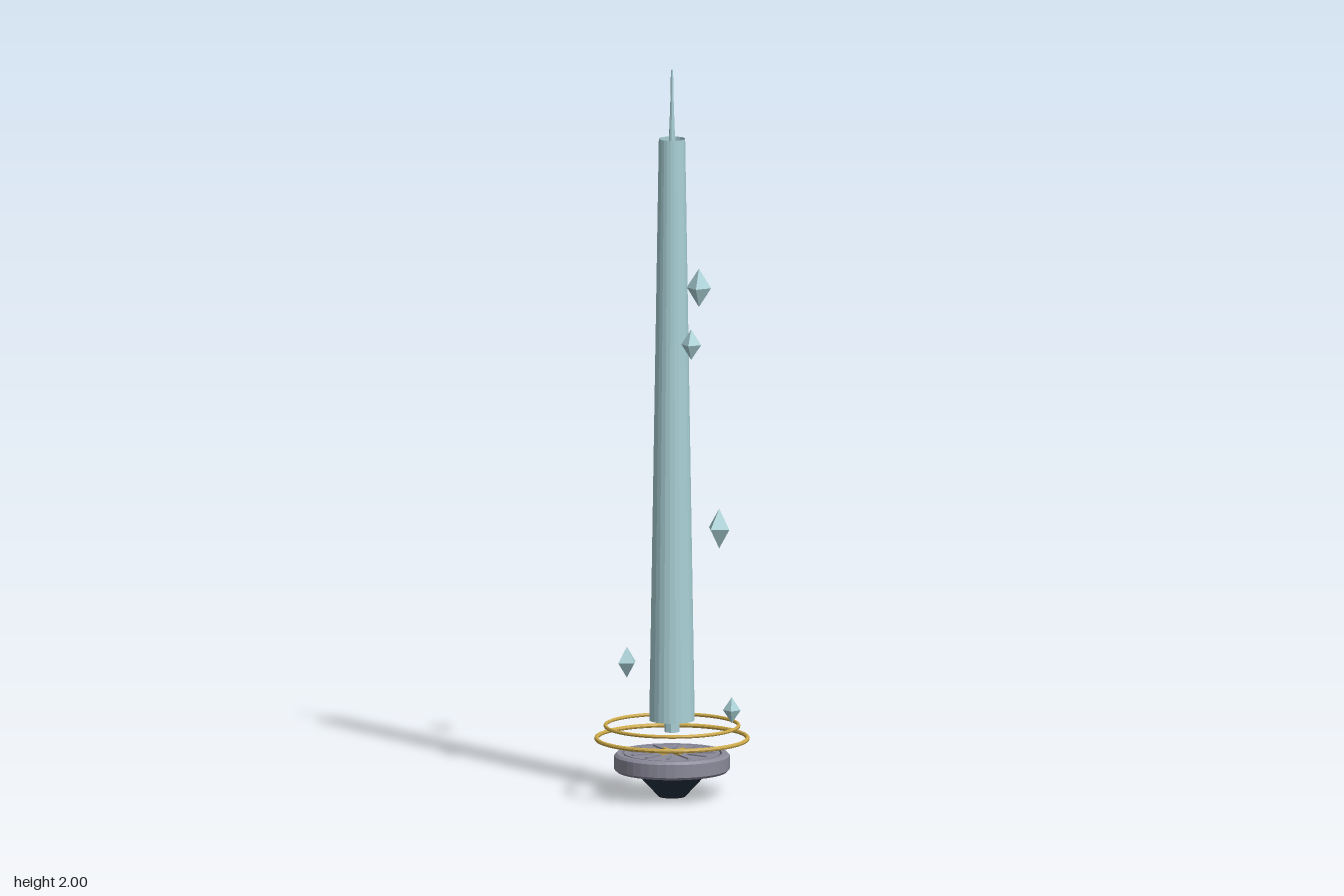
import * as THREE from 'three';

export function createModel() {
  const model = new THREE.Group();
  const mat = (name, color, side = THREE.FrontSide) => {
    const m = new THREE.MeshStandardMaterial({ color, side, flatShading: true });
    m.name = name;
    return m;
  };
  const paleTeal = mat('pale teal', 0xa9d0d6, THREE.DoubleSide);
  const gold = mat('gold', 0xcdaa4a);
  const stone = mat('grey stone', 0x8b8a9a);
  const navy = mat('dark navy', 0x253141);

  const add = (name, geometry, material, x = 0, y = 0, z = 0, parent = model) => {
    const mesh = new THREE.Mesh(geometry, material);
    mesh.name = name;
    mesh.position.set(x, y, z);
    parent.add(mesh);
    return mesh;
  };
  const lathe = (points, sides) =>
    new THREE.LatheGeometry(points.map(([r, y]) => new THREE.Vector2(r, y)), sides);

  // Floating base: tapered keel, deck and a separate rim around it
  add('keel', new THREE.CylinderGeometry(0.127, 0.036, 0.098, 24), navy, 0, 0.049);
  add('deck', new THREE.CylinderGeometry(0.13, 0.13, 0.022, 40), stone, 0, 0.109);
  add('rim', lathe([[0.136, 0.07], [0.15, 0.07], [0.157, 0.077], [0.157, 0.113],
    [0.15, 0.12], [0.136, 0.12], [0.136, 0.07]], 40), stone);

  // Radial ribs on the deck, with gold inlays on every second one
  const ribs = new THREE.Group();
  ribs.name = 'deckRibs';
  model.add(ribs);
  for (let i = 0; i < 12; i++) {
    const spoke = new THREE.Group();
    spoke.name = 'rib';
    spoke.rotation.y = i * Math.PI / 6;
    ribs.add(spoke);
    add('stoneRib', new THREE.BoxGeometry(0.063, 0.004, 0.009), stone, 0.0865, 0.122, 0, spoke);
    if (i % 2 === 0) {
      add('goldInlay', new THREE.BoxGeometry(0.045, 0.006, 0.009), gold, 0.0325, 0.123, 0, spoke);
    }
  }

  // Hovering gold rings
  for (const [radius, tube, y] of [[0.205, 0.006, 0.16], [0.181, 0.005, 0.195]]) {
    const ring = add('haloRing', new THREE.TorusGeometry(radius, tube, 8, 48), gold, 0, y);
    ring.rotation.x = Math.PI / 2;
  }

  // Open hollow shaft with the slim core rising through it to a needle
  add('shaft', new THREE.CylinderGeometry(0.036, 0.062, 1.6, 24, 4, true), paleTeal, 0, 1.01);
  add('coreAndSpire', lathe([[0, 0.178], [0.021, 0.178], [0.018, 1.0], [0.0085, 1.81],
    [0.005, 1.9], [0.003, 2.0], [0, 2.0]], 8), paleTeal);

  // Floating crystals: x, y, z, radius, half height, turn
  const crystals = [
    [0.055, 1.37, -0.175, 0.034, 0.053, -0.14],
    [0.068, 1.27, 0.148, 0.028, 0.042, -0.18],
    [0.138, 0.755, 0.088, 0.036, 0.055, -0.6],
    [-0.136, 0.345, -0.124, 0.03, 0.043, Math.PI / 4],
    [0.163, 0.24, 0, 0.024, 0.036, 0],
  ];
  for (const [x, y, z, r, h, turn] of crystals) {
    const crystal = add('crystal', new THREE.OctahedronGeometry(1), paleTeal, x, y, z);
    crystal.scale.set(r, h, r);
    crystal.rotation.y = turn;
  }
  return model;
}
